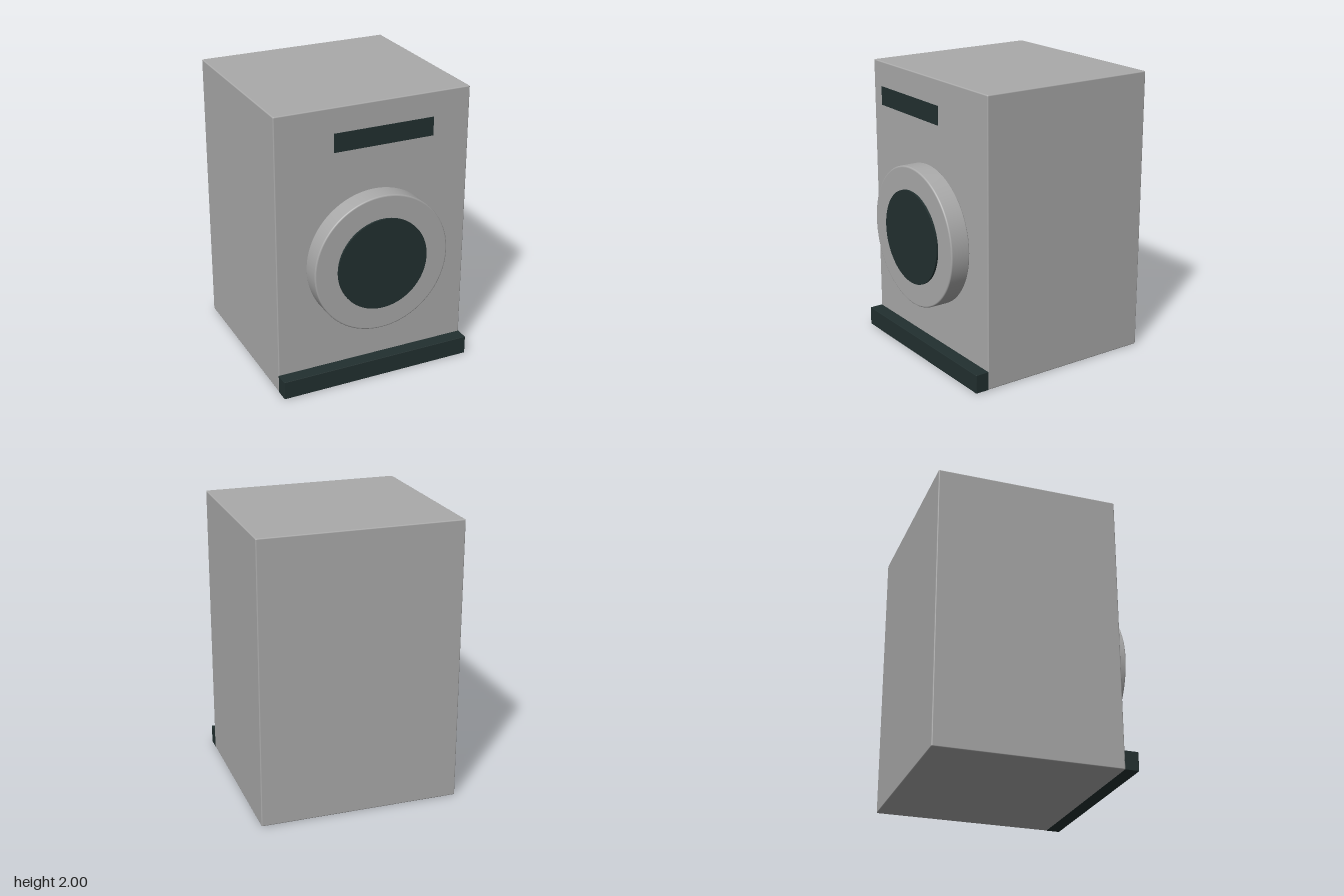
import * as THREE from 'three';
import { RoundedBoxGeometry } from 'three/addons/geometries/RoundedBoxGeometry.js';

export function createModel() {
  const model = new THREE.Group();
  const casing = new THREE.MeshStandardMaterial({ name: 'casing grey', color: 0xaaaaaa });
  const dark = new THREE.MeshStandardMaterial({ name: 'dark trim', color: 0x223030 });

  function add(name, geometry, material, x, y, z) {
    const mesh = new THREE.Mesh(geometry, material);
    mesh.name = name;
    mesh.position.set(x, y, z);
    model.add(mesh);
    return mesh;
  }

  // Disc facing +z with a quarter-round bevel on both rims; back face at z = 0.
  // Each flat and each bevel joins tangentially, so doubled points keep flats flat.
  function disc(radius, depth, bevel) {
    const profile = [new THREE.Vector2(0, 0), new THREE.Vector2(radius - bevel - 0.001, 0)];
    const steps = 4;
    for (const [cy, start] of [[bevel, -Math.PI / 2], [depth - bevel, 0]]) {
      for (let i = 0; i <= steps; i++) {
        const a = start + (i / steps) * Math.PI / 2;
        profile.push(new THREE.Vector2(radius - bevel + bevel * Math.cos(a), cy + bevel * Math.sin(a)));
      }
    }
    profile.push(new THREE.Vector2(radius - bevel - 0.001, depth), new THREE.Vector2(0, depth));
    return new THREE.LatheGeometry(profile, 96).rotateX(Math.PI / 2);
  }

  // Cabinet
  add('cabinet', new RoundedBoxGeometry(1.41, 2, 1.29, 3, 0.008), casing, 0, 1, -0.077);

  // Round door with its dark window
  add('door', disc(0.4925, 0.142, 0.01), casing, 0, 0.902, 0.566);
  const glass = new THREE.CylinderGeometry(0.329, 0.329, 0.03, 96).rotateX(Math.PI / 2);
  add('doorWindow', glass, dark, 0, 0.902, 0.707);

  // Control display, standing proud of the front
  add('controlDisplay', new THREE.BoxGeometry(0.708, 0.128, 0.004), dark, 0, 1.821, 0.71);

  // Plinth along the foot of the front
  add('plinth', new RoundedBoxGeometry(1.41, 0.132, 0.1, 2, 0.003), dark, 0, 0.066, 0.614);

  return model;
}
